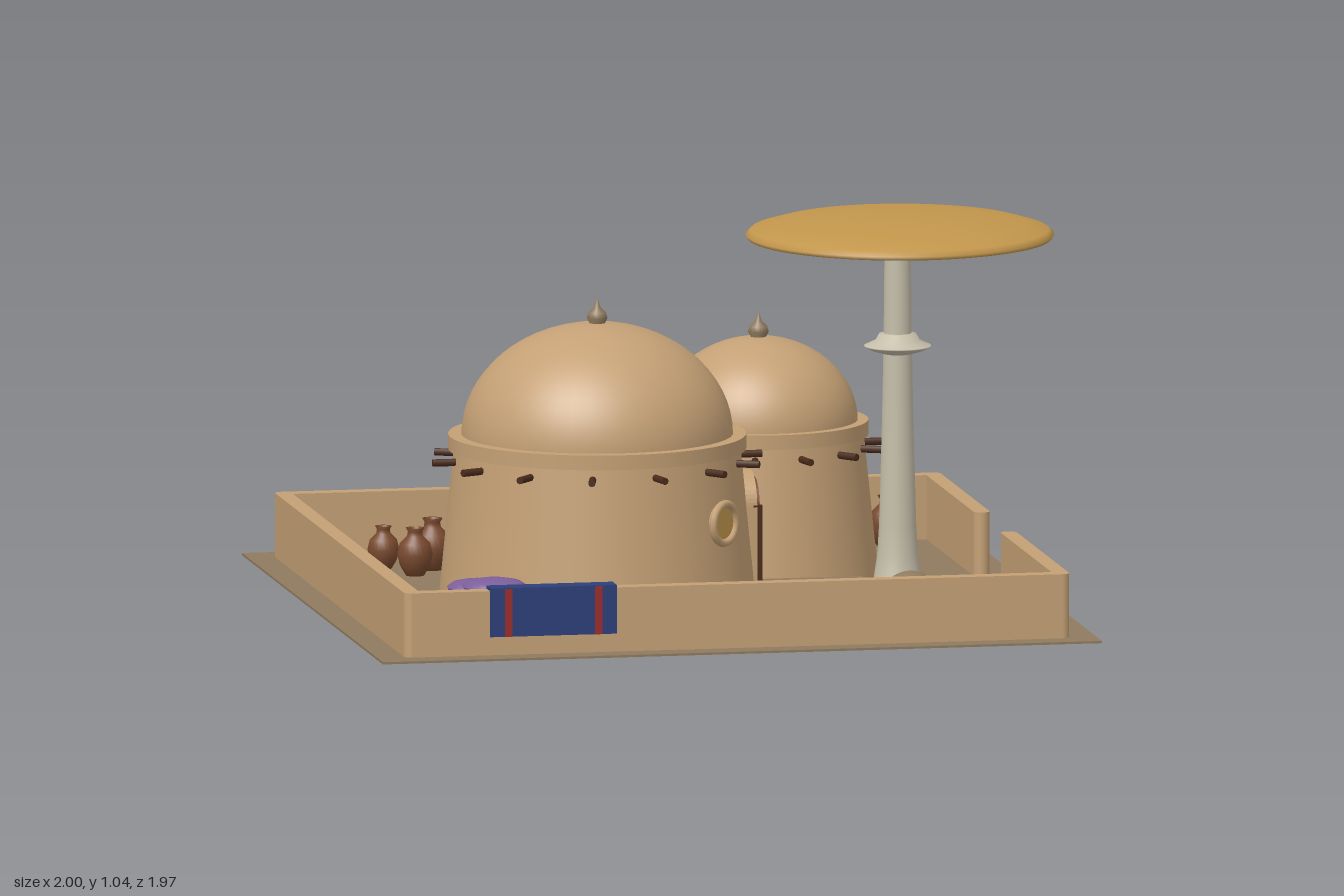
import * as THREE from 'three';

const mat = (name, color) => Object.assign(new THREE.MeshStandardMaterial({ color }), { name });
const M = {
  clay: mat('clay', 0xc4a075), earth: mat('earth', 0x8f7a5e), ochre: mat('ochre', 0xc2964c),
  stone: mat('pale stone', 0xc4bda8), wood: mat('reddish brown', 0x7a4a2e), dark: mat('dark brown', 0x4a2c1c),
  purple: mat('purple', 0x7d5f9a), blue: mat('blue', 0x2c3f78), red: mat('red', 0x9a2c2c),
};

function add(parent, name, geo, material, x = 0, y = 0, z = 0) {
  const m = new THREE.Mesh(geo, material);
  m.name = name;
  m.position.set(x, y, z);
  parent.add(m);
  return m;
}
function group(parent, name, x = 0, y = 0, z = 0, angle = 0) {
  const g = new THREE.Group();
  g.name = name;
  g.position.set(x, y, z);
  g.rotation.y = -angle; // local +x points along (cos angle, sin angle) in x, z
  parent.add(g);
  return g;
}
const box = (w, h, d) => new THREE.BoxGeometry(w, h, d);
const lathe = (pts, n = 32) => new THREE.LatheGeometry(pts.map(p => new THREE.Vector2(...p)), n);
const cyl = (rt, rb, h, n = 24) => new THREE.CylinderGeometry(rt, rb, h, n);
const dome = (r, h, n = 48) => new THREE.SphereGeometry(r, n, 16, 0, Math.PI * 2, 0, Math.PI / 2).scale(1, h / r, 1);

// Arched slab standing on y = 0, its face looking along +x
function arch(w, h, depth) {
  const r = w / 2, s = new THREE.Shape();
  s.moveTo(-r, 0);
  s.lineTo(r, 0);
  s.lineTo(r, h - r);
  s.absarc(0, h - r, r, 0, Math.PI, false);
  s.closePath();
  return new THREE.ExtrudeGeometry(s, { depth, bevelEnabled: false, curveSegments: 12 }).rotateY(Math.PI / 2);
}

function hut(parent, o) {
  const g = group(parent, o.name, o.x, 0, o.z);
  const wallAt = y => o.base + (o.top - o.base) * y / o.ringY;
  add(g, 'wall', cyl(o.top, o.base, o.ringY, 64), M.clay, 0, o.ringY / 2, 0);
  add(g, 'rim', cyl(o.rim, o.rim, 0.04, 64), M.clay, 0, o.ringY + 0.02, 0);
  add(g, 'dome', dome(o.dome, o.domeH), M.clay, 0, o.ringY + 0.035, 0);
  add(g, 'finial', lathe([[0.018, -0.02], [0.019, 0], [0.028, 0.018], [0.024, 0.032], [0.01, 0.045], [0, 0.075]], 16),
    M.earth, 0, o.ringY + 0.03 + o.domeH, 0);

  // Roof beams poking through the wall
  for (let i = 0; i < 14; i++) {
    const spoke = group(g, 'beam', 0, o.beamY, 0, i * Math.PI * 2 / 14);
    add(spoke, 'beamEnd', cyl(0.01, 0.01, 0.12, 8).rotateZ(Math.PI / 2), M.dark, o.beamTip - 0.06, 0, 0);
  }

  // Doorway with planks and side posts
  const d = group(g, 'doorway', 0, 0, 0, o.door);
  add(d, 'surround', arch(0.18, 0.385, 0.14), M.clay, o.base - 0.15);
  add(d, 'door', arch(0.15, 0.365, 0.02), M.wood, o.base - 0.02);
  for (const z of [-0.025, 0.025]) add(d, 'plankGap', box(0.006, 0.31, 0.008), M.dark, o.base + 0.002, 0.16, z);
  for (const z of [-0.082, 0.082]) add(d, 'doorPost', box(0.025, 0.3, 0.016), M.dark, o.base - 0.008, 0.15, z);
  add(d, 'step', box(0.12, 0.02, 0.23), M.stone, o.base + 0.015, 0.01, 0);

  // Round windows
  for (const a of o.windows) {
    const w = group(g, 'window', 0, o.winY, 0, a), r = wallAt(o.winY);
    add(w, 'windowFrame', new THREE.TorusGeometry(o.winR - 0.01, 0.011, 8, 28).rotateY(Math.PI / 2), M.clay, r + 0.01);
    add(w, 'windowBarrel', cyl(o.winR - 0.01, o.winR - 0.01, 0.06, 28).rotateZ(Math.PI / 2), M.clay, r - 0.025);
    add(w, 'windowPane', cyl(o.winR - 0.014, o.winR - 0.014, 0.006, 28).rotateZ(Math.PI / 2), M.ochre, r + 0.007);
  }
}

// Courtyard wall following a centre line, with rounded corners and ends
function wallRun(parent, pts) {
  const t = 0.044, h = 0.18;
  pts.forEach(([x, z], i) => {
    add(parent, 'wallEnd', cyl(t / 2, t / 2, h, 20), M.clay, x, h / 2, z);
    if (!i) return;
    const [px, pz] = pts[i - 1];
    add(parent, 'wallLength', box(Math.abs(x - px) || t, h, Math.abs(z - pz) || t), M.clay, (x + px) / 2, h / 2, (z + pz) / 2);
  });
}

function smallMushroom(parent, x, z, r, y, material, spots) {
  const g = group(parent, 'smallMushroom', x, 0, z);
  add(g, 'stem', cyl(0.01, 0.016, y, 10), M.stone, 0, y / 2, 0);
  add(g, 'cap', lathe([[0, y - 0.012], [r * 0.95, y - 0.012], [r, y - 0.005], [r * 0.8, y + 0.007], [r * 0.45, y + 0.013], [0, y + 0.015]], 24), material);
  for (let i = 0; i < spots; i++) {
    const a = i * Math.PI * 2 / spots;
    add(g, 'spot', new THREE.SphereGeometry(0.009, 8, 6), M.stone, Math.cos(a) * r * 0.6, y + 0.008, Math.sin(a) * r * 0.6);
  }
}

export function createModel() {
  const root = new THREE.Group();
  root.name = 'domedCourtyard';
  add(root, 'ground', box(1.965, 0.006, 1.97), M.earth, -0.0175, 0.003, 0);

  const walls = group(root, 'courtyardWall');
  wallRun(walls, [[0.14, -0.893], [0.87, -0.893], [0.87, -0.215]]);
  wallRun(walls, [[0.87, 0.17], [0.87, 0.897], [-0.905, 0.897], [-0.905, -0.893], [-0.28, -0.893]]);

  const q = Math.PI / 4;
  hut(root, { name: 'largeHut', x: -0.27, z: 0.245, base: 0.43, top: 0.385, ringY: 0.455, rim: 0.4, dome: 0.365, domeH: 0.305,
    beamY: 0.427, beamTip: 0.45, door: 0, windows: [q, -q, -3 * q], winY: 0.285, winR: 0.063 });
  hut(root, { name: 'smallHut', x: 0.29, z: -0.365, base: 0.322, top: 0.283, ringY: 0.385, rim: 0.295, dome: 0.267, domeH: 0.23,
    beamY: 0.355, beamTip: 0.347, door: -2 * q, windows: [-q, -3 * q], winY: 0.245, winR: 0.058 });

  // Giant mushroom with a flared stem and collar
  const tree = group(root, 'giantMushroom', 0.578, 0, 0.108);
  add(tree, 'stem', lathe([[0.085, 0], [0.067, 0.04], [0.055, 0.12], [0.05, 0.2], [0.043, 0.45], [0.038, 0.7], [0.035, 0.985]]), M.stone);
  add(tree, 'collar', lathe([[0.036, 0.665], [0.07, 0.675], [0.09, 0.685], [0.09, 0.688], [0.06, 0.702], [0.05, 0.72], [0.036, 0.722]]), M.stone);
  add(tree, 'cap', lathe([[0, 0.976], [0.385, 0.976], [0.385, 0.976], [0.408, 0.98], [0.414, 0.99], [0.4, 1.003], [0.34, 1.02],
    [0.22, 1.034], [0.1, 1.039], [0, 1.04]], 64), M.ochre, 0.006);

  // Clay oven and bench
  const oven = group(root, 'oven', 0.525, 0, 0.56);
  add(oven, 'ovenDome', dome(0.107, 0.145, 32), M.earth);
  add(oven, 'ovenMouth', arch(0.07, 0.07, 0.03), M.dark, 0.072);
  add(root, 'benchSeat', box(0.27, 0.02, 0.085), M.earth, 0.35, 0.05, 0.12);
  for (const x of [0.24, 0.46]) add(root, 'benchLeg', box(0.03, 0.04, 0.08), M.earth, x, 0.02, 0.12);

  // Clay jars
  for (const [x, z, r] of [[-0.68, -0.645, 0.043], [-0.555, -0.6, 0.052], [-0.62, -0.51, 0.048], [0.6, -0.69, 0.052], [0.72, -0.76, 0.052]]) {
    add(root, 'jar', lathe([[0, 0], [0.5, 0], [0.85, 0.6], [1, 1.25], [0.85, 1.85], [0.45, 2.25], [0.4, 2.5], [0.52, 2.7], [0.4, 2.7], [0.3, 2.4], [0, 2.4]], 24)
      .scale(r, r, r), M.wood, x, 0.005, z);
  }

  // Cluster of small mushrooms
  smallMushroom(root, -0.645, 0.725, 0.087, 0.17, M.purple, 0);
  smallMushroom(root, -0.67, 0.605, 0.08, 0.15, M.purple, 0);
  smallMushroom(root, -0.62, 0.585, 0.07, 0.125, M.purple, 0);
  smallMushroom(root, -0.715, 0.655, 0.068, 0.11, M.ochre, 0);
  smallMushroom(root, -0.705, 0.735, 0.06, 0.09, M.red, 6);

  // Food bowls
  for (const [x, z, r, bowl, food] of [[0.095, 0.685, 0.038, M.ochre, M.wood], [0.195, 0.745, 0.034, M.stone, M.ochre]]) {
    add(root, 'bowl', cyl(r, r * 0.7, 0.03), bowl, x, 0.018, z);
    for (let i = 0; i < 4; i++) {
      const a = i * Math.PI / 2 + 0.5;
      add(root, 'fruit', new THREE.SphereGeometry(0.009, 10, 8), food, x + Math.cos(a) * r * 0.5, 0.035, z + Math.sin(a) * r * 0.5);
    }
  }

  // Striped cloth draped over the front wall
  add(root, 'cloth', box(0.345, 0.132, 0.06), M.blue, -0.522, 0.122, 0.897);
  for (const x of [-0.645, -0.4]) add(root, 'clothStripe', box(0.02, 0.13, 0.066), M.red, x, 0.121, 0.897);
  return root;
}
